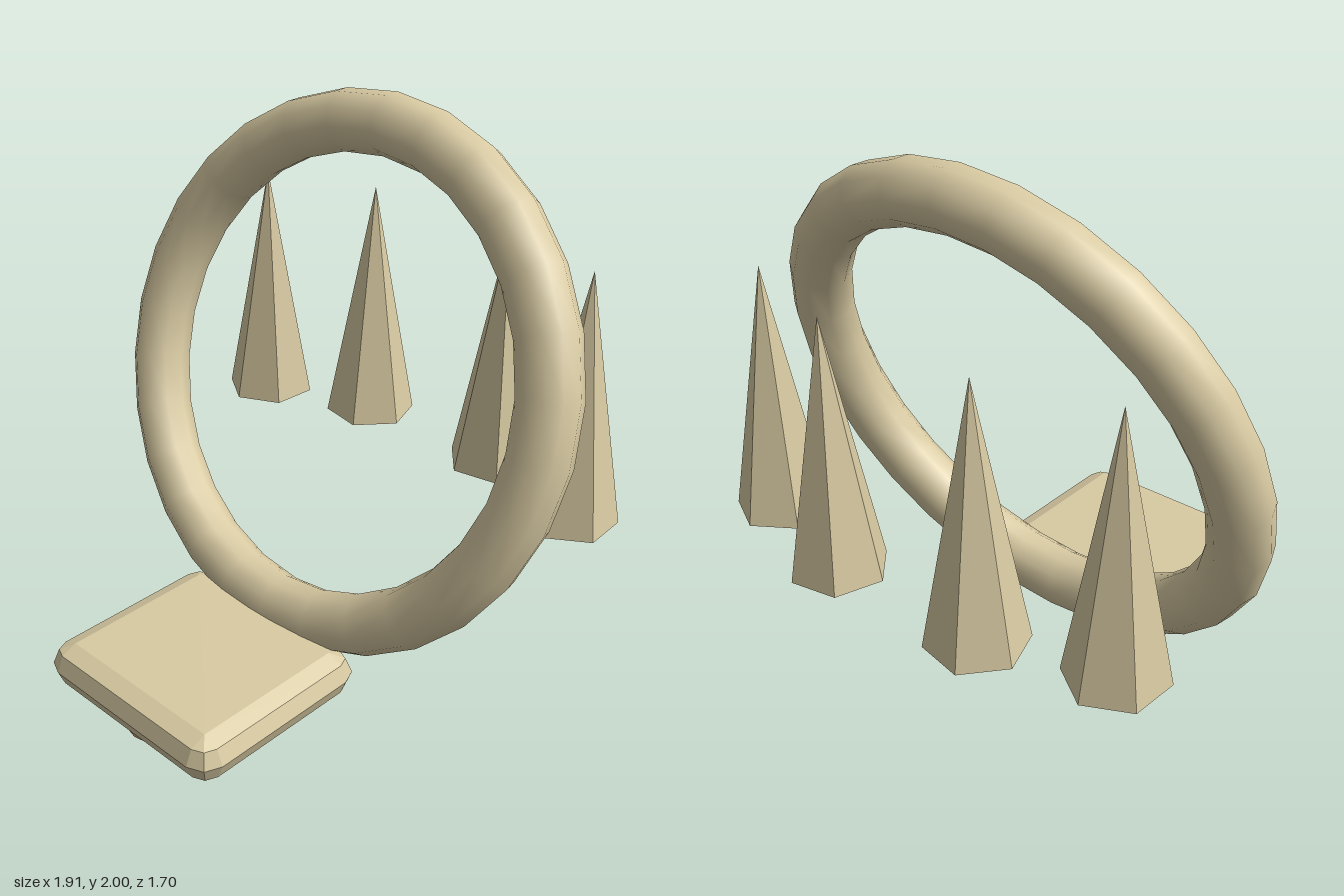
import * as THREE from 'three';
import { ConvexGeometry } from 'three/addons/geometries/ConvexGeometry.js';

// Hull of coarse spheres set at the four corners of a rectangle
function cushionGeometry(halfX, halfZ, radius) {
  const ball = new THREE.SphereGeometry(radius, 8, 4).getAttribute('position');
  const points = [];
  for (const sx of [-1, 1]) {
    for (const sz of [-1, 1]) {
      for (let i = 0; i < ball.count; i++) {
        points.push(new THREE.Vector3(
          ball.getX(i) + sx * halfX, ball.getY(i), ball.getZ(i) + sz * halfZ));
      }
    }
  }
  return new ConvexGeometry(points);
}

export function createModel() {
  const group = new THREE.Group();
  const ivory = new THREE.MeshStandardMaterial({ color: 0xd9cba3 });
  ivory.name = 'ivory';
  const ivoryFaceted = ivory.clone();
  ivoryFaceted.flatShading = true;
  ivoryFaceted.name = 'ivory faceted';
  const tan = new THREE.MeshStandardMaterial({ color: 0xcfab72, side: THREE.DoubleSide });
  tan.name = 'tan';

  function add(name, geometry, material, x, y, z) {
    const mesh = new THREE.Mesh(geometry, material);
    mesh.name = name;
    mesh.position.set(x, y, z);
    group.add(mesh);
    return mesh;
  }

  // Large ring leaning back
  const ring = add('backRing', new THREE.TorusGeometry(0.85, 0.105, 10, 28), ivory, 0, 1.09, -0.145);
  ring.rotation.x = -0.314;

  // Flat seat with bevelled rim
  add('seat', cushionGeometry(0.325, 0.28, 0.08), ivoryFaceted, 0, 0.207, 0.49);

  // Shallow bowl under the seat
  const bowl = add('bowl',
    new THREE.SphereGeometry(0.33, 16, 4, 0, Math.PI * 2, Math.PI / 2, Math.PI / 2),
    tan, 0, 0.15, 0.49);
  bowl.scale.y = 0.15 / 0.33;

  // Six-sided spikes, mirrored in pairs behind the ring
  const spike = new THREE.ConeGeometry(0.168, 0.9, 6);
  for (const side of [-1, 1]) {
    const label = side > 0 ? 'left' : 'right';
    const inner = add(label + 'InnerSpike', spike, ivoryFaceted, side * 0.3, 1.1, -0.69);
    inner.rotation.y = -side * 0.33;
    const outer = add(label + 'OuterSpike', spike, ivoryFaceted, side * 0.72, 1.1, -0.555);
    outer.rotation.y = side * 0.06;
  }
  return group;
}
